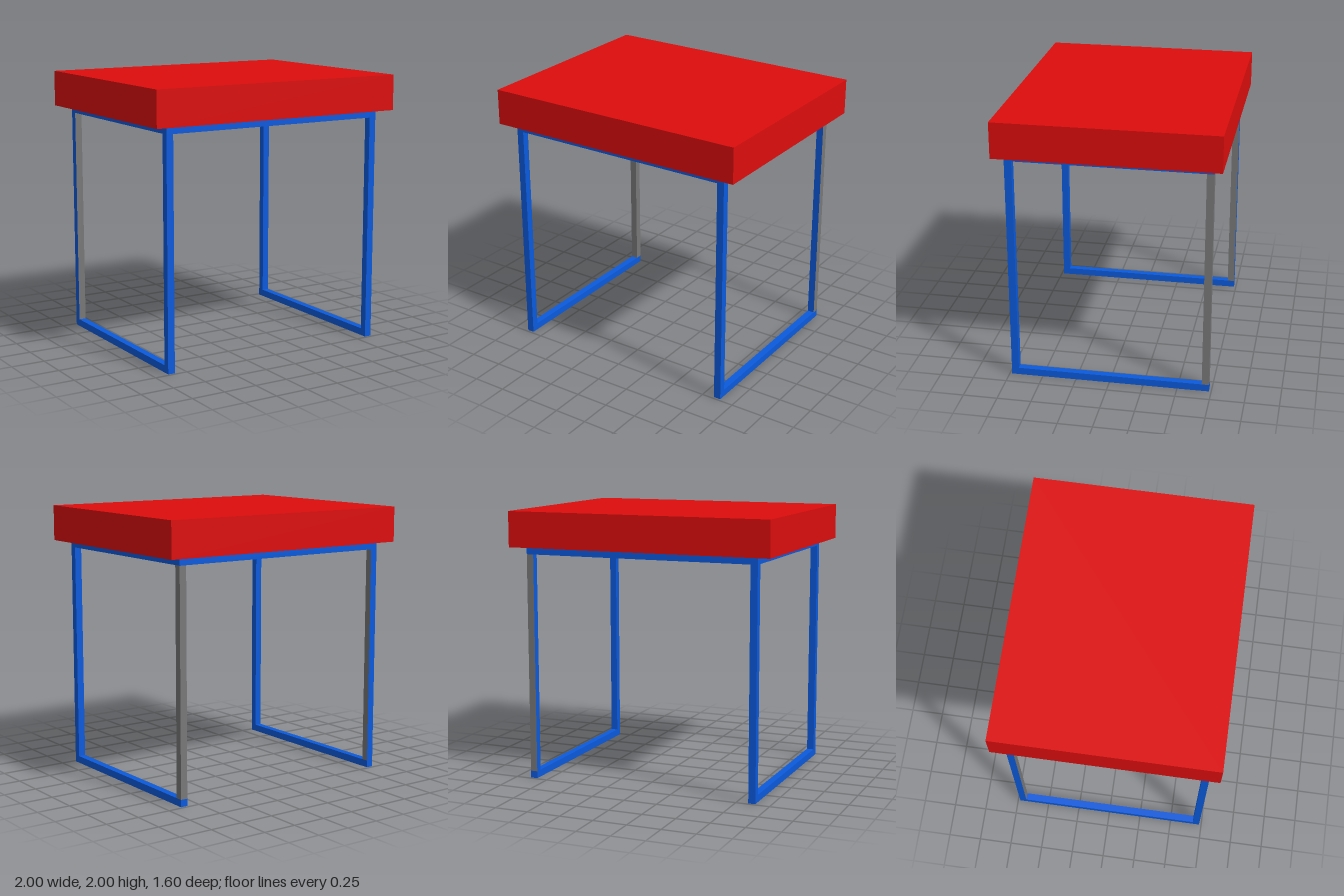
import * as THREE from 'three';

const BAR = 0.053;   // square tube thickness
const FX = 0.89;     // frame half width
const FZ = 0.733;    // frame half depth
const SEAT_Y = 1.737; // underside of the seat

const paint = (color) => new THREE.MeshStandardMaterial({ color, flatShading: true });

export function createModel() {
  const model = new THREE.Group();
  model.name = 'stool';
  const red = paint(0xdd0d0d);
  const blue = paint(0x0b5add);
  const grey = paint(0x787878);

  const box = (name, size, position, material) => {
    const mesh = new THREE.Mesh(new THREE.BoxGeometry(...size), material);
    mesh.name = name;
    mesh.position.set(...position);
    model.add(mesh);
  };

  // thick seat slab
  box('seat', [2, 2 - SEAT_Y, 1.6], [0, (2 + SEAT_Y) / 2, 0], red);

  const cx = FX - BAR / 2;
  const cz = FZ - BAR / 2;
  const topY = SEAT_Y - BAR / 2;
  const legHeight = SEAT_Y - 2 * BAR;

  // front and back rails under the seat
  for (const s of [1, -1]) {
    box(s > 0 ? 'frontRail' : 'backRail', [2 * (FX - BAR), BAR, BAR], [0, topY, s * cz], blue);
  }

  // side loops: top rail, floor runner and two legs
  for (const s of [1, -1]) {
    const side = s > 0 ? 'left' : 'right';
    box(side + 'TopRail', [BAR, BAR, 2 * FZ], [s * cx, topY, 0], blue);
    box(side + 'FloorRunner', [BAR, BAR, 2 * FZ], [s * cx, BAR / 2, 0], blue);
    box(side + 'FrontLeg', [BAR, legHeight, BAR], [s * cx, SEAT_Y / 2, cz], blue);

    // back legs have two unpainted faces (order +x, -x, +y, -y, +z, -z)
    const faces = s > 0
      ? [grey, blue, blue, blue, blue, grey]
      : [grey, blue, blue, blue, grey, blue];
    box(side + 'BackLeg', [BAR, legHeight, BAR], [s * cx, SEAT_Y / 2, -cz], faces);
  }

  return model;
}
